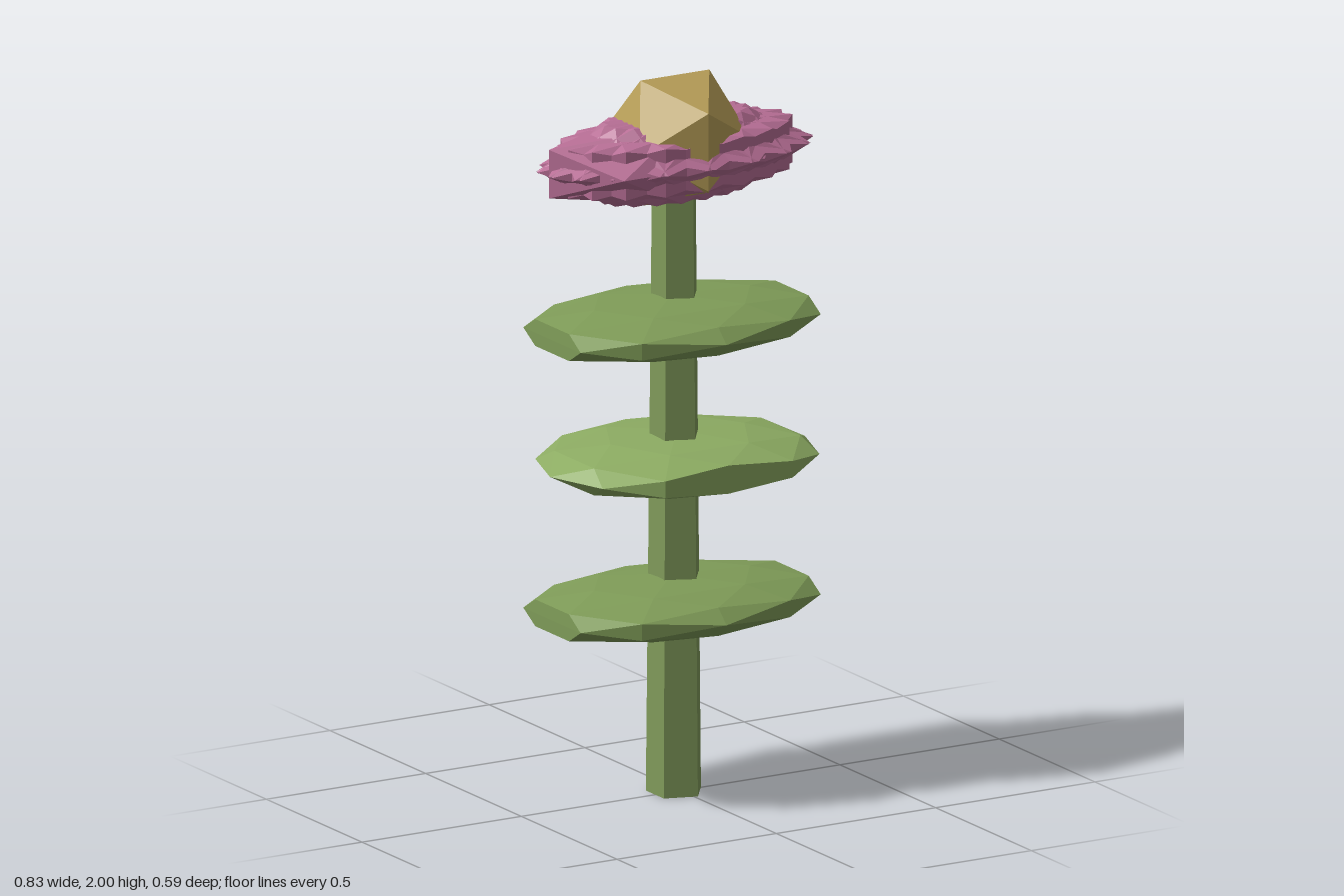
import * as THREE from 'three';

const CX = -0.015, CZ = -0.005;

const paint = (color) => new THREE.MeshStandardMaterial({ color, flatShading: true });

function part(name, geometry, material, x, y, z) {
  const mesh = new THREE.Mesh(geometry, material);
  mesh.name = name;
  mesh.position.set(x, y, z);
  return mesh;
}

// Flattened faceted disc whose ends are blunted at the given limits
function leafGeometry(rx, ry, rz, limitX, limitZ) {
  const geo = new THREE.IcosahedronGeometry(1, 1);
  geo.scale(rx, ry, rz);
  const p = geo.attributes.position;
  for (let i = 0; i < p.count; i++) {
    p.setX(i, THREE.MathUtils.clamp(p.getX(i), -limitX, limitX));
    p.setZ(i, THREE.MathUtils.clamp(p.getZ(i), -limitZ, limitZ));
  }
  geo.computeVertexNormals();
  return geo;
}

export function createModel() {
  const group = new THREE.Group();
  const stemGreen = paint(0x7f9a5a);
  const leafGreen = paint(0x7f9c58);
  const lightGreen = paint(0x8cab62);
  const pink = paint(0xb86f96);
  const gold = paint(0xb89f58);

  // Tapered five-sided stem with one corner towards +x
  const stem = new THREE.CylinderGeometry(0.063, 0.08, 1.76, 5);
  stem.rotateY(Math.PI / 2 - Math.PI * 2);
  group.add(part('stem', stem, stemGreen, CX, 0.88, CZ + 0.003));

  // Three leaf discs: outer pair blunt along x, middle one blunt along z
  const outerLeaf = leafGeometry(0.465, 0.075, 0.285, 0.377, 0.285);
  const middleLeaf = leafGeometry(0.4, 0.075, 0.335, 0.4, 0.27);
  group.add(part('lowerLeaf', outerLeaf, leafGreen, -0.033, 0.537, 0.01));
  group.add(part('middleLeaf', middleLeaf, lightGreen, 0.003, 0.928, -0.022));
  group.add(part('upperLeaf', outerLeaf, leafGreen, -0.033, 1.32, 0.01));

  // Spiky blossom: turned copies of one solid, squashed together
  const blossom = new THREE.Group();
  blossom.name = 'blossom';
  blossom.position.set(CX, 1.78, CZ);
  blossom.scale.set(0.42, 0.129, 0.195);
  const petal = new THREE.IcosahedronGeometry(1, 0);
  const count = 9;
  for (let i = 0; i < count; i++) {
    const mesh = part('petal', petal, pink, 0, 0, 0);
    mesh.rotation.y = (i * Math.PI) / count;
    blossom.add(mesh);
  }
  // Blunt petal at the -x end
  const blunt = part('bluntPetal', petal, pink, -0.09, 0, 0);
  blunt.rotation.y = Math.PI / 2;
  blossom.add(blunt);
  group.add(blossom);

  // Flower centre
  group.add(part('flowerCentre', new THREE.IcosahedronGeometry(0.206, 0), gold, CX, 1.825, CZ));

  return group;
}
